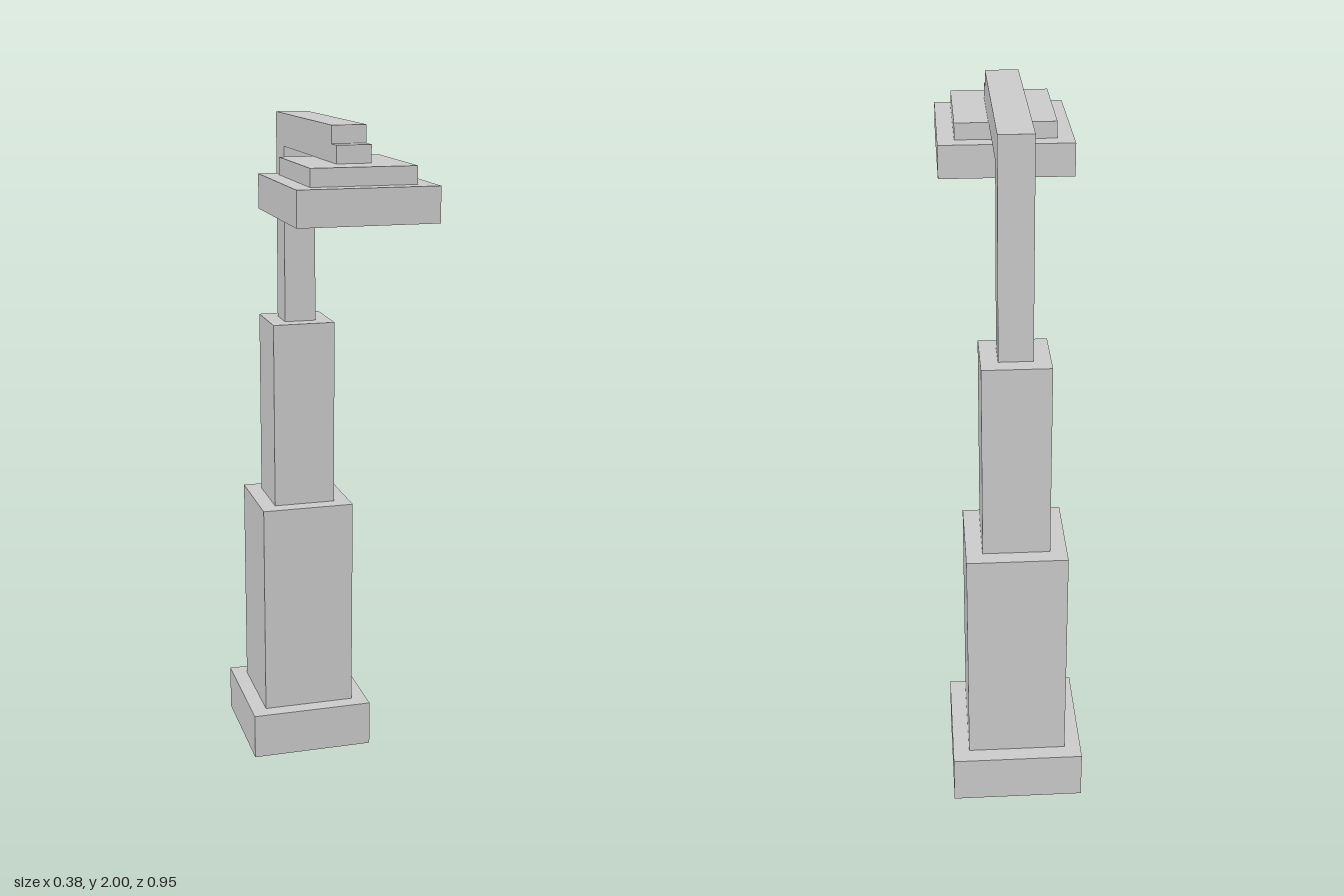
import * as THREE from 'three';

const U = 1 / 21; // grid module all parts snap to
const material = new THREE.MeshStandardMaterial({ color: 0xcccccc, flatShading: true });

function addMesh(parent, name, geometry) {
  const mesh = new THREE.Mesh(geometry, material);
  mesh.name = name;
  parent.add(mesh);
  return mesh;
}

// Box given by half width and its y and z ranges, in grid modules
function addBlock(parent, name, halfX, y0, y1, z0, z1) {
  const geometry = new THREE.BoxGeometry(2 * halfX * U, (y1 - y0) * U, (z1 - z0) * U);
  geometry.translate(0, (y0 + y1) * U / 2, (z0 + z1) * U / 2);
  return addMesh(parent, name, geometry);
}

function polygon(points, Type = THREE.Shape) {
  return new Type(points.map(([x, y]) => new THREE.Vector2(x * U, y * U)));
}

const rectangle = (x, z0, z1) => [[-x, -z1], [x, -z1], [x, -z0], [-x, -z0]];

export function createModel() {
  const model = new THREE.Group();
  model.name = 'streetLamp';

  // Stepped square column
  const column = new THREE.Group();
  column.name = 'column';
  model.add(column);
  addBlock(column, 'base', 4, 0, 3, -10, -2);
  addBlock(column, 'lowerColumn', 3, 3, 17, -9, -3);
  addBlock(column, 'upperColumn', 2, 17, 29, -8, -4);

  // Slim post and overhanging arm, as one bent side profile (z, y)
  const profile = polygon([
    [-7, 29], [-5, 29], [-5, 40], [7, 40], [7, 41], [6, 41], [6, 42], [-7, 42],
  ]);
  const arm = new THREE.ExtrudeGeometry(profile, { depth: 2 * U, bevelEnabled: false });
  arm.rotateY(-Math.PI / 2).translate(U, 0, 0);
  addMesh(model, 'postAndArm', arm);

  // Lamp head: cap, shade and a rim open underneath
  const head = new THREE.Group();
  head.name = 'lampHead';
  model.add(head);
  addBlock(head, 'lampCap', 3, 39, 40, 2, 9);
  addBlock(head, 'lampShade', 4, 38, 39, 1, 10);
  const rimShape = polygon(rectangle(4, 1, 10));
  rimShape.holes.push(polygon(rectangle(3, 2, 9), THREE.Path));
  const rim = new THREE.ExtrudeGeometry(rimShape, { depth: U, bevelEnabled: false });
  rim.rotateX(-Math.PI / 2).translate(0, 37 * U, 0);
  addMesh(head, 'lampRim', rim);

  return model;
}
